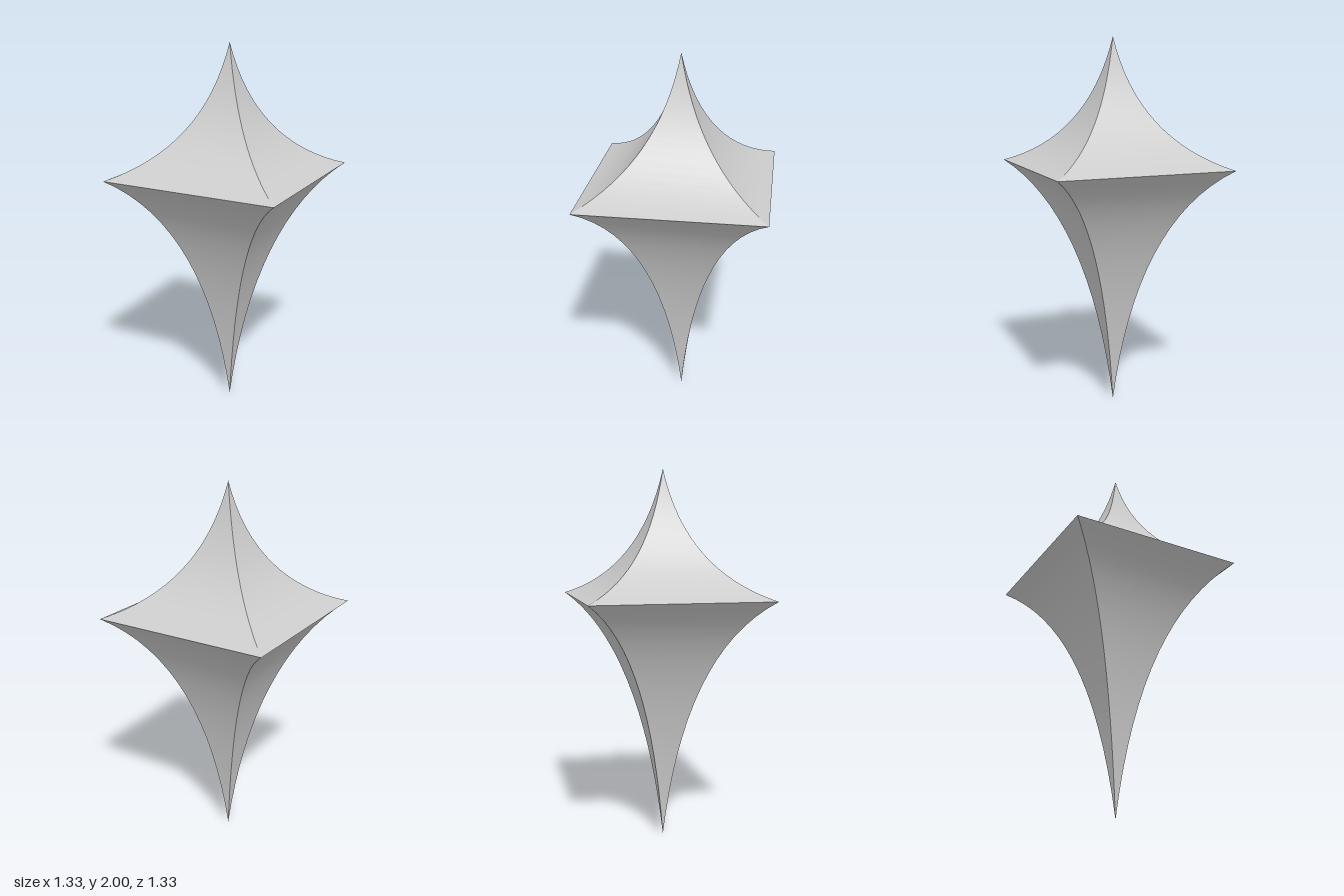
import * as THREE from 'three';

const R = 2 / 3;   // reach of the four corners
const EQ = 4 / 3;  // height of the square rim
const PULL = 0.14; // how deeply the ridges curve inwards

// One concave side: a ridge profile swept across a quarter turn in a single flat step.
function sideGeometry(profile, quarter) {
  const geo = new THREE.LatheGeometry(profile, 1, quarter * Math.PI / 2, Math.PI / 2);
  geo.computeVertexNormals(); // smooth along the side, sharp at the ridges
  return geo;
}

// Ridge curve from point a to point b, bent towards the axis.
function ridge(a, control, b) {
  return new THREE.QuadraticBezierCurve(
    new THREE.Vector2(...a), new THREE.Vector2(...control), new THREE.Vector2(...b)
  ).getPoints(16);
}

export function createModel() {
  const model = new THREE.Group();
  const material = new THREE.MeshStandardMaterial({ color: 0xcccccc });
  const k = PULL / R;

  // Profiles run upwards so the faces point outwards
  const profiles = {
    lowerSpike: ridge([0, 0], [PULL, EQ * (1 - k)], [R, EQ]),
    upperSpike: ridge([R, EQ], [PULL, EQ + (2 - EQ) * k], [0, 2]),
  };

  for (const [name, profile] of Object.entries(profiles)) {
    const spike = new THREE.Group();
    spike.name = name;
    for (let q = 0; q < 4; q++) {
      const side = new THREE.Mesh(sideGeometry(profile, q), material);
      side.name = name + 'Side' + (q + 1);
      spike.add(side);
    }
    model.add(spike);
  }
  return model;
}
